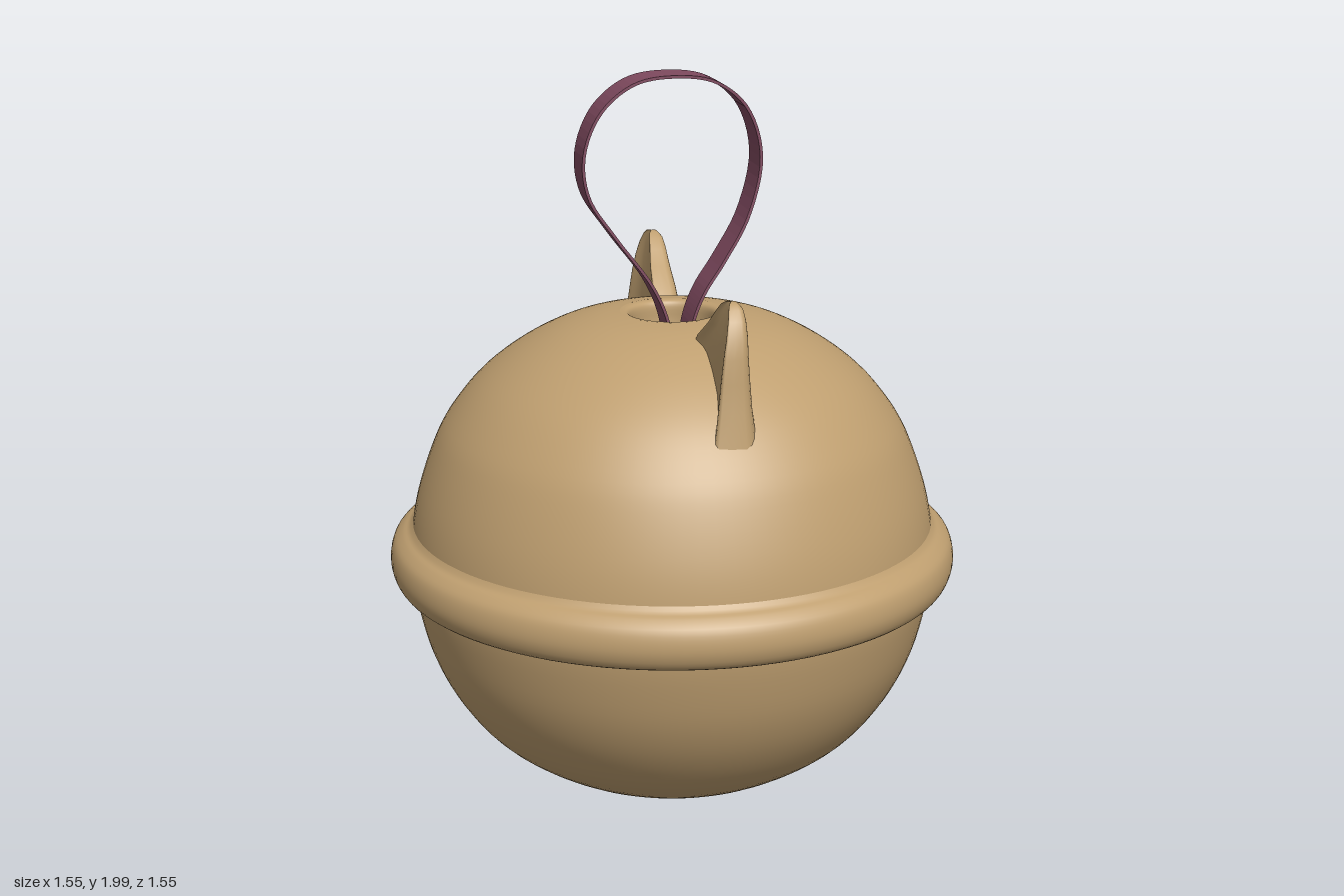
import * as THREE from 'three';

const v2 = (p) => new THREE.Vector2(p[0], p[1]);
const smooth = (pts, n) => new THREE.SplineCurve(pts.map(v2)).getPoints(n)
  .map((p) => new THREE.Vector2(Math.max(p.x, 0), p.y));

// Skin over a loop of rings, each ring an equal-length array of Vector3
function loft(rings) {
  const n = rings[0].length, index = [];
  const pos = rings.flatMap((r) => r.flatMap((p) => p.toArray()));
  for (let i = 0; i < rings.length - 1; i++) {
    for (let j = 0; j < n; j++) {
      const a = i * n + j, b = i * n + (j + 1) % n;
      index.push(a, a + n, b, b, a + n, b + n);
    }
  }
  const g = new THREE.BufferGeometry();
  g.setAttribute('position', new THREE.Float32BufferAttribute(pos, 3));
  g.setIndex(index);
  g.computeVertexNormals();
  return g;
}

// Ear section: thin in x, long in z, hollowed on the -x face
function earGeometry() {
  // height, inner z, outer z, -x face, +x face
  const rows = [
    [1.12, 0.12, 0.57, -0.07, 0.11], [1.22, 0.16, 0.55, -0.045, 0.095],
    [1.30, 0.20, 0.54, -0.03, 0.088], [1.36, 0.25, 0.533, -0.018, 0.083],
    [1.41, 0.325, 0.522, -0.005, 0.08], [1.45, 0.37, 0.503, 0.007, 0.077],
    [1.475, 0.40, 0.482, 0.017, 0.072], [1.487, 0.425, 0.465, 0.028, 0.062],
    [1.49, 0.445, 0.447, 0.044, 0.046],
  ];
  const rings = rows.map(([y, z0, z1, x0, x1]) => {
    const ring = [];
    for (let j = 0; j < 32; j++) {
      const a = (j / 32) * Math.PI * 2, c = Math.cos(a), s = Math.sin(a);
      const round = (v) => Math.sign(v) * Math.sqrt(Math.abs(v));
      const w = x1 - x0;
      const dent = c < 0 ? 0.4 * w * c * c : 0;
      ring.push(new THREE.Vector3(
        (x0 + x1) / 2 + round(c) * w / 2 + dent, y,
        (z0 + z1) / 2 + round(s) * (z1 - z0) / 2));
    }
    return ring;
  });
  return loft(rings);
}

// Flat ribbon following a teardrop, drifting slightly in z
function ribbonGeometry() {
  const path = new THREE.CatmullRomCurve3([
    [-0.01, 1.25, 0.02], [-0.03, 1.36, 0.015], [-0.07, 1.45, 0.01], [-0.165, 1.58, 0.0],
    [-0.235, 1.69, -0.005], [-0.246, 1.8, -0.005], [-0.2, 1.91, -0.008], [-0.11, 1.98, -0.012],
    [0, 1.996, -0.016], [0.11, 1.978, -0.02], [0.195, 1.91, -0.022], [0.236, 1.78, -0.022],
    [0.2, 1.62, -0.012], [0.13, 1.5, 0], [0.075, 1.42, 0.008], [0.045, 1.35, 0.012], [0.025, 1.25, 0.015],
  ].map((p) => new THREE.Vector3(...p)));
  const rings = [];
  for (let i = 0; i <= 90; i++) {
    const p = path.getPoint(i / 90), t = path.getTangent(i / 90);
    const side = new THREE.Vector3(-t.y, t.x, 0).normalize();
    rings.push([[1, 1], [1, -1], [-1, -1], [-1, 1]].map(([a, b]) =>
      p.clone().addScaledVector(side, a * 0.004).add(new THREE.Vector3(0, 0, b * 0.056))));
  }
  const g = loft(rings).toNonIndexed();
  g.computeVertexNormals();
  return g;
}

export function createModel() {
  const model = new THREE.Group();
  const tan = new THREE.MeshStandardMaterial({ color: 0xbf9f70 });
  tan.name = 'tan clay';
  const plum = new THREE.MeshStandardMaterial({ color: 0x7f4a5f, side: THREE.DoubleSide });
  plum.name = 'plum ribbon';
  const add = (name, geometry, material) => {
    const mesh = new THREE.Mesh(geometry, material);
    mesh.name = name;
    model.add(mesh);
    return mesh;
  };

  // Round bell body with a flattened top
  const body = smooth([
    [0, 0.005], [0.12, 0.018], [0.25, 0.05], [0.39, 0.11], [0.52, 0.2], [0.61, 0.31],
    [0.67, 0.43], [0.705, 0.56], [0.718, 0.66], [0.715, 0.76], [0.695, 0.87], [0.655, 0.99],
    [0.61, 1.08], [0.53, 1.18], [0.43, 1.26], [0.32, 1.32], [0.22, 1.352], [0.14, 1.364],
  ], 70);
  add('body', new THREE.LatheGeometry(body, 96), tan);

  // Hole in the top with a rounded lip and a hollow below
  const hole = smooth([
    [0.14, 1.364], [0.122, 1.361], [0.113, 1.345], [0.11, 1.3], [0.095, 1.25], [0.05, 1.22], [0, 1.215],
  ], 24);
  add('topHole', new THREE.LatheGeometry(hole, 64), tan);

  // Raised band round the middle
  const band = smooth([
    [0.69, 0.612], [0.725, 0.62], [0.758, 0.637], [0.773, 0.67], [0.774, 0.705],
    [0.764, 0.738], [0.742, 0.76], [0.722, 0.772], [0.705, 0.795],
  ], 28);
  add('band', new THREE.LatheGeometry(band, 96), tan);

  // Front ear, and the back ear mirrored in z
  const ear = earGeometry();
  add('frontEar', ear, tan);
  add('backEar', ear, tan).scale.z = -1;

  add('ribbonLoop', ribbonGeometry(), plum);
  return model;
}
